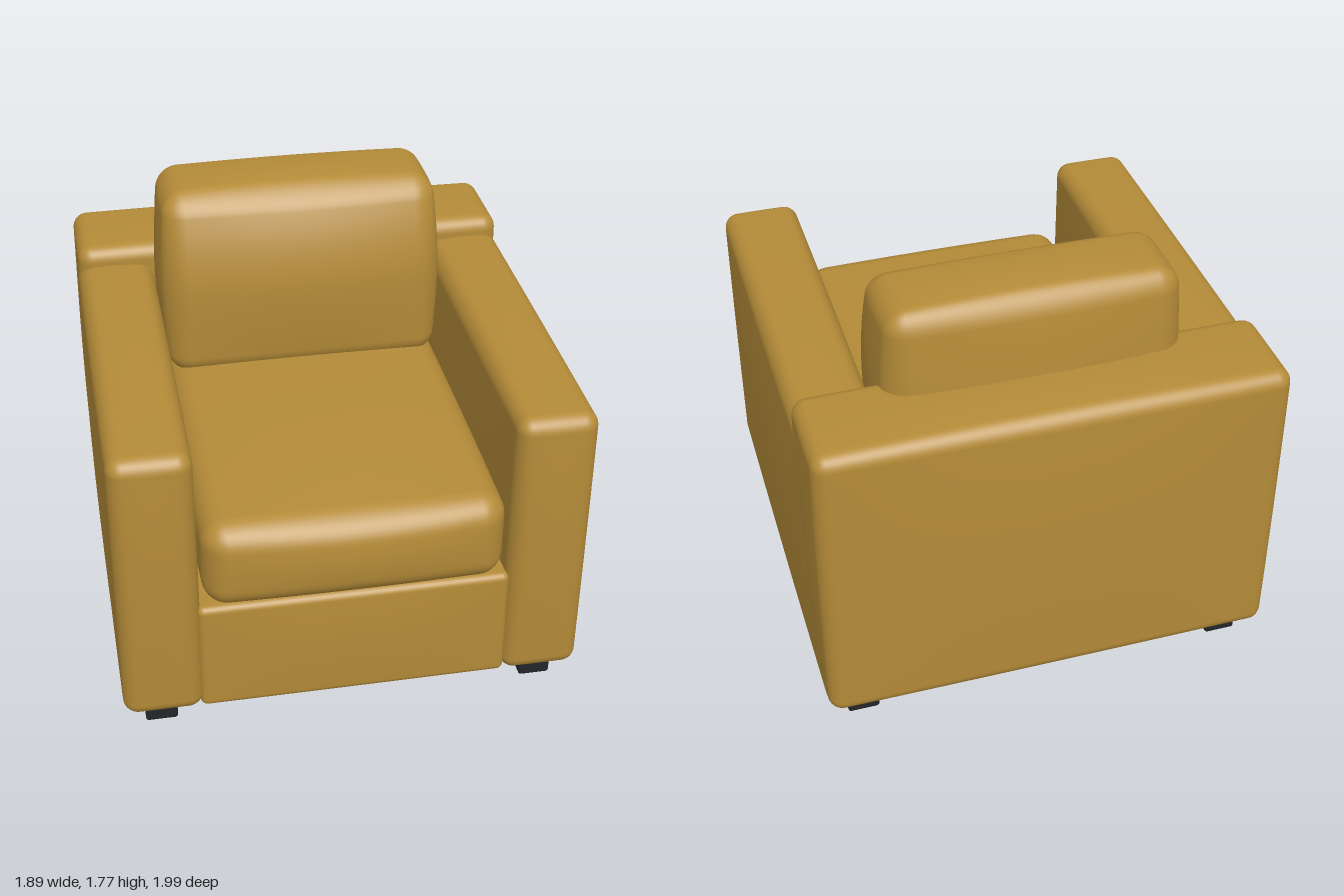
import * as THREE from 'three';
import { mergeVertices } from 'three/addons/utils/BufferGeometryUtils.js';
import { RoundedBoxGeometry } from 'three/addons/geometries/RoundedBoxGeometry.js';

const BAND = 5, FLAT = 10, N = BAND * 2 + FLAT;

// Padded block between min and max corners: rounded edges, softly swollen faces.
// An optional shape(p, u) rule bends the point p, with u its place in -1..1.
function padded(min, max, radius, bulge, shape) {
  const lo = new THREE.Vector3(...min), hi = new THREE.Vector3(...max);
  const centre = lo.clone().add(hi).multiplyScalar(0.5);
  const half = hi.clone().sub(lo).multiplyScalar(0.5);
  const geo = new THREE.BoxGeometry(2, 2, 2, N, N, N);
  geo.deleteAttribute('uv');
  geo.deleteAttribute('normal');
  const pos = geo.attributes.position;
  const p = new THREE.Vector3(), core = new THREE.Vector3(), u = new THREE.Vector3();

  // grid line position: close together in the rounded edge, wide on the flat
  const place = (t, h) => {
    const i = Math.round((t + 1) * N / 2), inner = h - radius;
    const edge = k => radius * Math.tan((k / BAND) * Math.PI / 4);
    if (i < BAND) return -inner - edge(BAND - i);
    if (i > N - BAND) return inner + edge(i - N + BAND);
    return inner * (2 * (i - BAND) / FLAT - 1);
  };

  for (let i = 0; i < pos.count; i++) {
    p.fromBufferAttribute(pos, i);
    p.set(place(p.x, half.x), place(p.y, half.y), place(p.z, half.z));
    core.set(
      THREE.MathUtils.clamp(p.x, radius - half.x, half.x - radius),
      THREE.MathUtils.clamp(p.y, radius - half.y, half.y - radius),
      THREE.MathUtils.clamp(p.z, radius - half.z, half.z - radius));
    p.sub(core).normalize().multiplyScalar(radius).add(core);
    u.copy(p).divide(half);
    const fx = 1 - u.x * u.x, fy = 1 - u.y * u.y, fz = 1 - u.z * u.z;
    p.x += bulge[0] * u.x * fy * fz;
    p.y += bulge[1] * u.y * fx * fz;
    p.z += bulge[2] * u.z * fx * fy;
    if (shape) shape(p, u);
    p.add(centre);
    pos.setXYZ(i, p.x, p.y, p.z);
  }
  const smooth = mergeVertices(geo, 1e-5);
  smooth.computeVertexNormals();
  return smooth;
}

export function createModel() {
  const group = new THREE.Group();
  group.name = 'armchair';
  const fabric = new THREE.MeshStandardMaterial({ color: 0xb48b38 });
  fabric.name = 'mustard fabric';
  const dark = new THREE.MeshStandardMaterial({ color: 0x242529 });
  dark.name = 'dark leg';

  const add = (name, geo, mat = fabric) => {
    const mesh = new THREE.Mesh(geo, mat);
    mesh.name = name;
    group.add(mesh);
    return mesh;
  };

  // Frame
  add('base', padded([-0.625, 0.1, -0.9], [0.625, 0.6, 0.935], 0.03, [0, 0.015, 0.01]));
  add('backrest', padded([-0.93, 0.1, -0.975], [0.93, 1.41, -0.55], 0.06, [0.01, 0.015, 0.02]));

  // Loose cushions
  add('seatCushion', padded([-0.595, 0.595, -0.6], [0.595, 0.975, 0.96], 0.1, [0.01, 0.025, 0.035]));
  add('backCushion', padded([-0.58, 0.94, -0.7], [0.58, 1.75, -0.215], 0.09, [0.03, 0.02, 0.03], (p, u) => {
    // the front leans back and the sides draw in towards the top
    const t = Math.max(0, u.y + 0.1);
    p.z -= 0.085 * t * t * (0.5 + 0.5 * u.z) - 0.02 * t * (0.5 - 0.5 * u.z);
    p.x *= 1 - 0.015 * t;
  }));

  // Arms and legs, mirrored
  const armGeo = padded([-0.16, 0.1, -0.95], [0.16, 1.32, 0.95], 0.06, [0.015, 0.022, 0.018]);
  const legGeo = new RoundedBoxGeometry(0.13, 0.16, 0.13, 2, 0.012);
  for (const [side, s] of [['left', 1], ['right', -1]]) {
    add(side + 'Arm', armGeo).position.x = s * 0.772;
    add(side + 'FrontLeg', legGeo, dark).position.set(s * 0.78, 0.08, 0.805);
    add(side + 'BackLeg', legGeo, dark).position.set(s * 0.78, 0.08, -0.82);
  }
  return group;
}
